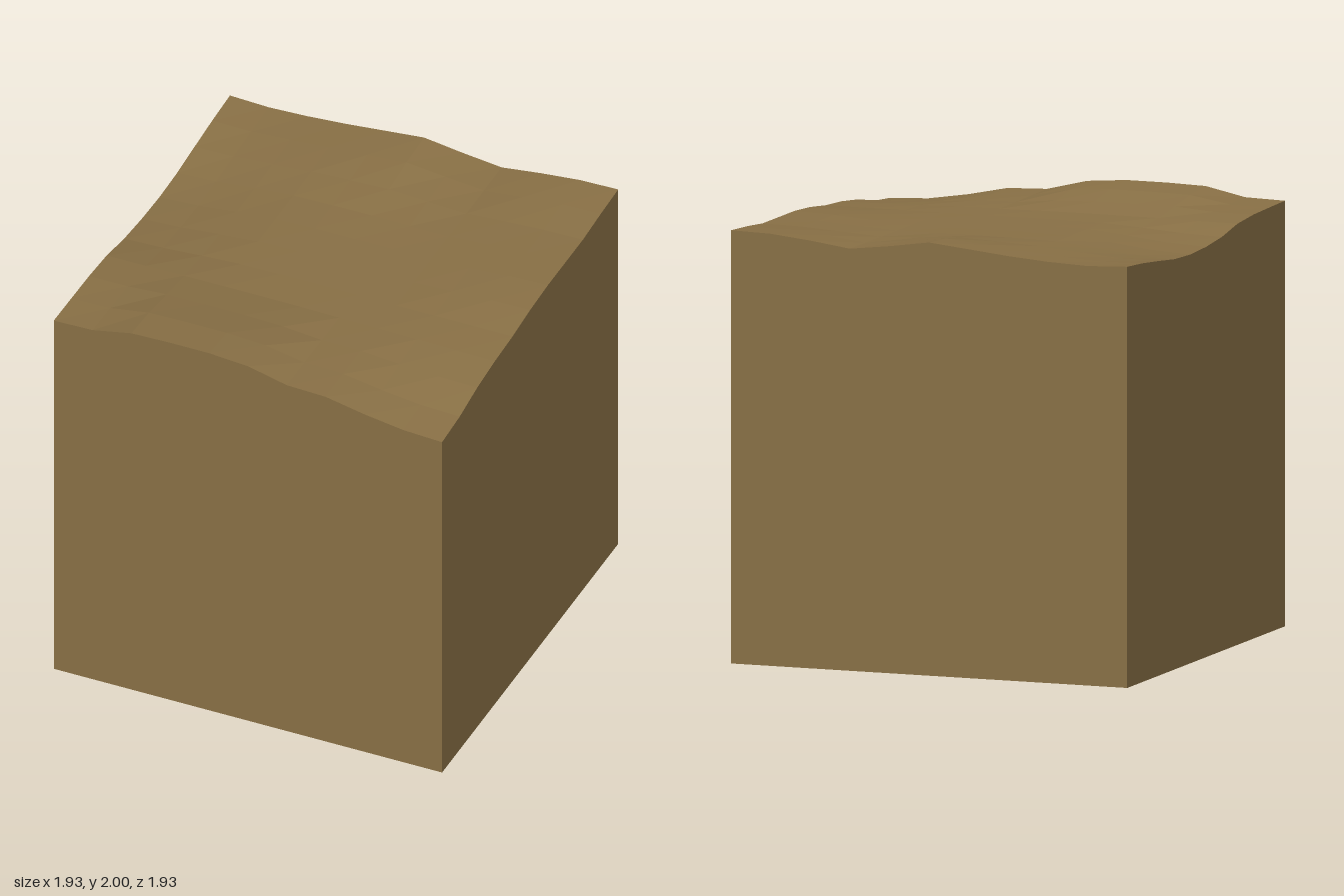
import * as THREE from 'three';

const SIZE = 1.93, CELLS = 10, LEVEL = 1.93;

// Heights along the four upper rims, from -x to +x or from -z to +z
const front = [1.95, 1.955, 1.995, 2.0, 2.0, 1.985, 1.937, 1.93, 1.89, 1.86, 1.85];
const back = [1.93, 1.922, 1.93, 1.945, 1.965, 1.985, 1.957, 1.934, 1.96, 1.98, 1.985];
const left = [1.985, 1.975, 1.96, 1.96, 1.96, 1.95, 1.93, 1.92, 1.90, 1.865, 1.85];
const right = [1.93, 1.918, 1.90, 1.88, 1.873, 1.88, 1.897, 1.93, 1.943, 1.947, 1.95];

// Influence of a rim, fading to nothing 3.5 cells inward
const fade = (cells) => 1 - THREE.MathUtils.smoothstep(cells, 0, 3.5);

// Ground height at a grid point: the level middle plus the blended rims
function groundHeight(i, j) {
  const wr = fade(i), wl = fade(CELLS - i), wb = fade(j), wf = fade(CELLS - j);
  const d = (h) => h - LEVEL;
  return LEVEL
    + wf * d(front[i]) + wb * d(back[i]) + wl * d(left[j]) + wr * d(right[j])
    - wf * wr * d(front[0]) - wf * wl * d(front[CELLS])
    - wb * wr * d(back[0]) - wb * wl * d(back[CELLS]);
}

export function createModel() {
  const group = new THREE.Group();
  group.name = 'groundBlock';
  const earth = new THREE.MeshStandardMaterial({ color: 0x8a7146, flatShading: true });
  earth.name = 'earth brown';

  // Solid block whose upper vertices follow the uneven ground
  const box = new THREE.BoxGeometry(SIZE, 1, SIZE, CELLS, 1, CELLS);
  const p = box.attributes.position;
  for (let k = 0; k < p.count; k++) {
    const i = Math.round((p.getX(k) / SIZE + 0.5) * CELLS);
    const j = Math.round((p.getZ(k) / SIZE + 0.5) * CELLS);
    p.setY(k, p.getY(k) > 0 ? groundHeight(i, j) : 0);
  }
  const geometry = box.toNonIndexed();
  geometry.computeVertexNormals();

  const block = new THREE.Mesh(geometry, earth);
  block.name = 'earthBlock';
  group.add(block);
  return group;
}
